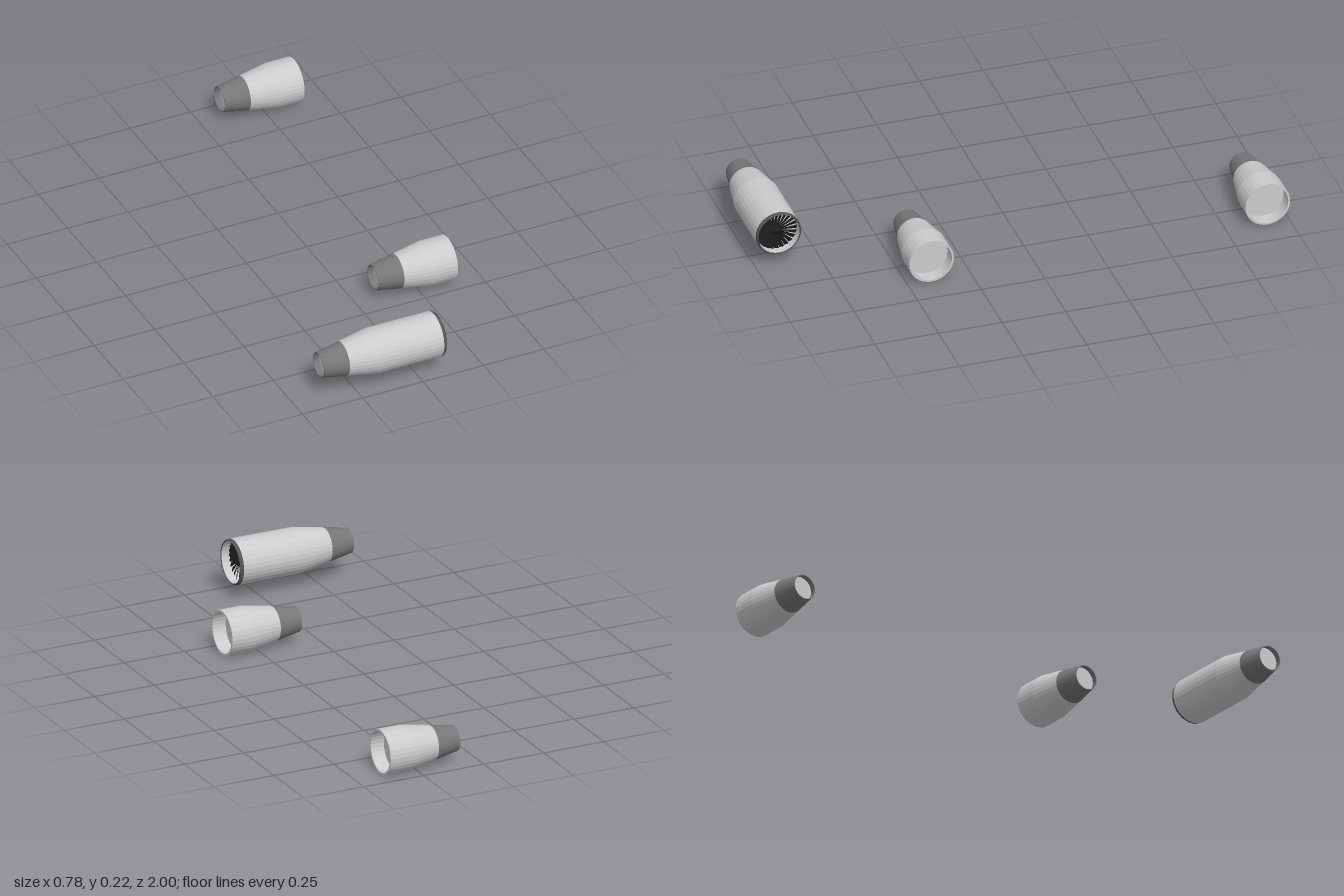
import * as THREE from 'three';

const SIDES = 32;
const mat = (color) => new THREE.MeshStandardMaterial({ color, flatShading: true, side: THREE.DoubleSide });
const shellMat = mat(0xcccccc);
const nozzleMat = mat(0x777777);
const lipMat = mat(0x555555);
const fanMat = mat(0x1c1c1c);

// Surface of revolution about the x axis from [x, radius] pairs
function turned(name, profile, material) {
  const geo = new THREE.LatheGeometry(profile.map(([x, r]) => new THREE.Vector2(r, x)), SIDES);
  geo.rotateZ(-Math.PI / 2);
  const mesh = new THREE.Mesh(geo, material);
  mesh.name = name;
  return mesh;
}

// Flat round wall facing along x
function bulkhead(name, x, r) {
  const mesh = new THREE.Mesh(new THREE.CircleGeometry(r, SIDES).rotateY(Math.PI / 2), shellMat);
  mesh.position.x = x;
  mesh.name = name;
  return mesh;
}

// Tapered exhaust nozzle starting at x = 0, with a thin wall and an inner wall plate
function addNozzle(engine) {
  engine.add(
    turned('nozzle', [[0.098, 0.067], [0, 0.049], [0, 0.046], [0.03, 0.05]], nozzleMat),
    bulkhead('nozzlePlate', 0.025, 0.0495),
  );
}

function shortEngine() {
  const g = new THREE.Group();
  addNozzle(g);
  g.add(
    turned('cowling', [[0.098, 0.067], [0.215, 0.0877], [0.31, 0.0877], [0.31, 0.08], [0.25, 0.08]], shellMat),
    bulkhead('intakePlate', 0.255, 0.08),
  );
  return g;
}

// Radial fan of pitched blades that widen a little toward the tip
function fan() {
  const g = new THREE.Group();
  g.name = 'fan';
  const count = 24;
  for (let i = 0; i < count; i++) {
    const shape = new THREE.Shape([
      new THREE.Vector2(-0.003, 0.012), new THREE.Vector2(0.003, 0.012),
      new THREE.Vector2(0.0095, 0.081), new THREE.Vector2(-0.0095, 0.081),
    ]);
    const blade = new THREE.Mesh(new THREE.ShapeGeometry(shape).rotateY(Math.PI / 2), fanMat);
    blade.name = 'fanBlade';
    blade.rotation.set((i / count) * Math.PI * 2, 0.35, 0, 'XYZ');
    g.add(blade);
  }
  g.add(turned('fanHub', [[-0.008, 0.022], [0.004, 0.02], [0.018, 0]], fanMat));
  return g;
}

function longEngine() {
  const g = new THREE.Group();
  addNozzle(g);
  const blades = fan();
  blades.position.x = 0.455;
  g.add(
    turned('cowling', [[0.098, 0.067], [0.22, 0.0885], [0.478, 0.0885]], shellMat),
    turned('intakeLip', [[0.478, 0.0885], [0.487, 0.087], [0.492, 0.083], [0.488, 0.081]], lipMat),
    turned('intakeWall', [[0.488, 0.081], [0.43, 0.081]], shellMat),
    bulkhead('intakePlate', 0.435, 0.081),
    blades,
  );
  return g;
}

export function createModel() {
  const model = new THREE.Group();
  const place = (engine, name, x, y, z) => {
    engine.name = name;
    engine.position.set(x, y, z);
    model.add(engine);
  };
  place(longEngine(), 'centreEngine', -0.39, 0.137, 0.912);
  place(shortEngine(), 'frontSideEngine', 0.078, 0.0885, 0.408);
  place(shortEngine(), 'rearSideEngine', 0.078, 0.0885, -0.912);
  return model;
}
